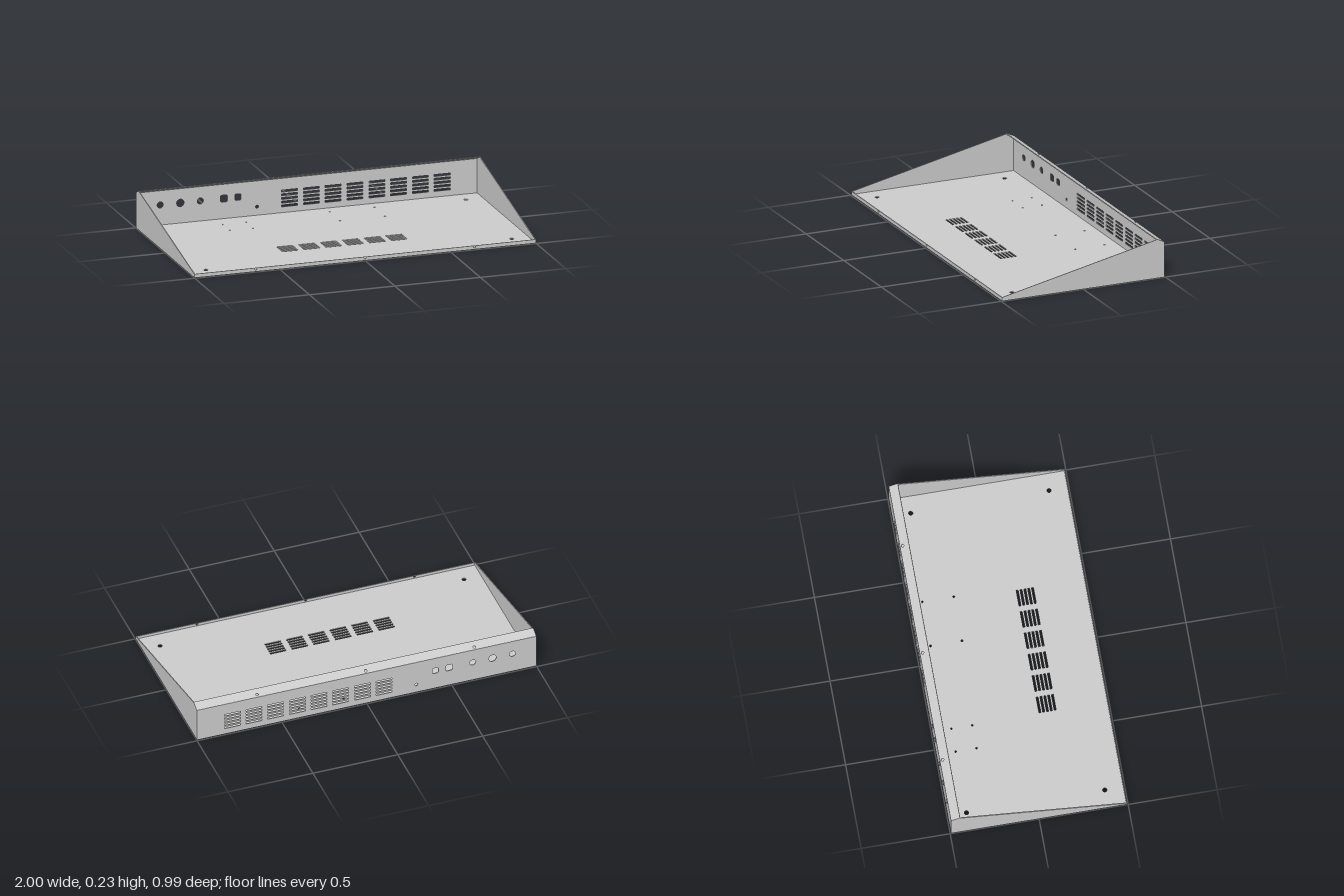
import * as THREE from 'three';

const T = 0.005; // sheet thickness
const W = 1, D = 0.495; // half width, half depth
const BACK_H = 0.207, PEAK_H = 0.23, PEAK_Z = -0.445, LIP_H = 0.022;

const material = new THREE.MeshStandardMaterial({ color: 0xcccccc });

const points = (list) => list.map(([x, y]) => new THREE.Vector2(x, y));
const rect = (x0, y0, x1, y1) => points([[x0, y0], [x1, y0], [x1, y1], [x0, y1]]);

function round(x, y, r) {
  return new THREE.Path().absarc(x, y, r, 0, Math.PI * 2, true);
}

// square cut-out with clipped corners
function squareHole(x, y, h) {
  const c = h * 0.75;
  return new THREE.Path(points([
    [x - h, y - c], [x - c, y - h], [x + c, y - h], [x + h, y - c],
    [x + h, y + c], [x + c, y + h], [x - c, y + h], [x - h, y + c],
  ]));
}

// blocks of five stacked slots
function vents(count, startX, firstY) {
  const slots = [];
  for (let i = 0; i < count; i++) {
    const x = startX + i * 0.1277;
    for (let j = 0; j < 5; j++) {
      const y = firstY + j * 0.0215;
      slots.push(new THREE.Path(rect(x, y - 0.0055, x + 0.094, y + 0.0055)));
    }
  }
  return slots;
}

function sheet(name, outline, holes = []) {
  const shape = new THREE.Shape(outline);
  shape.holes.push(...holes);
  const geometry = new THREE.ExtrudeGeometry(shape, { depth: T, bevelEnabled: false, curveSegments: 10 });
  const mesh = new THREE.Mesh(geometry, material);
  mesh.name = name;
  return mesh;
}

export function createModel() {
  const group = new THREE.Group();
  group.name = 'slopedEnclosure';
  const screwX = [-0.64, 0, 0.64];

  // floor with mounting holes, board standoff holes and vents
  const floorHoles = vents(6, -0.385, 0.112);
  for (const x of [-0.895, 0.895]) for (const z of [-0.39, 0.387]) floorHoles.push(round(x, z, 0.012));
  for (const x of [-0.53, -0.393]) for (const z of [-0.387, -0.27]) floorHoles.push(round(x, z, 0.005));
  for (const x of [0.107, 0.37]) for (const z of [-0.417, -0.24]) floorHoles.push(round(x, z, 0.006));
  const floor = sheet('floor', rect(-W + 0.002, -D + 0.002, W - 0.002, D - 0.002), floorHoles);
  floor.rotation.x = Math.PI / 2;
  floor.position.y = T;
  group.add(floor);

  // back wall with connector holes and vents
  const back = sheet('backWall', rect(-W, T, W, BACK_H - 0.001), [
    round(-0.86, 0.121, 0.018), round(-0.742, 0.121, 0.022), round(-0.625, 0.121, 0.018),
    squareHole(-0.487, 0.121, 0.02), squareHole(-0.405, 0.121, 0.018),
    round(-0.293, 0.054, 0.009), ...vents(8, -0.15, 0.044),
  ]);
  back.position.z = -D;
  group.add(back);

  // low front lip with screw holes
  const lip = sheet('frontLip', rect(-W + T, T, W - T, LIP_H), screwX.map((x) => round(x, 0.015, 0.006)));
  lip.position.z = D - T;
  group.add(lip);

  // sloping flange along the top of the back wall
  const rise = PEAK_H - BACK_H, run = PEAK_Z + D, length = Math.hypot(rise, run);
  const flange = sheet('topFlange', rect(-W, 0, W, length), screwX.map((x) => round(x, length * 0.3, 0.008)));
  flange.rotation.x = Math.atan2(run, rise);
  flange.position.set(0, BACK_H, -D);
  group.add(flange);

  // wedge-shaped side walls, tucked under the flange
  const profile = points([
    [-D + T, T], [D, T], [D, LIP_H], [PEAK_Z, PEAK_H - T], [-D + T, BACK_H - T * 0.6],
  ]);
  for (const [name, x] of [['leftWall', W], ['rightWall', -W + T]]) {
    const wall = sheet(name, profile);
    wall.rotation.y = -Math.PI / 2;
    wall.position.x = x;
    group.add(wall);
  }
  return group;
}
